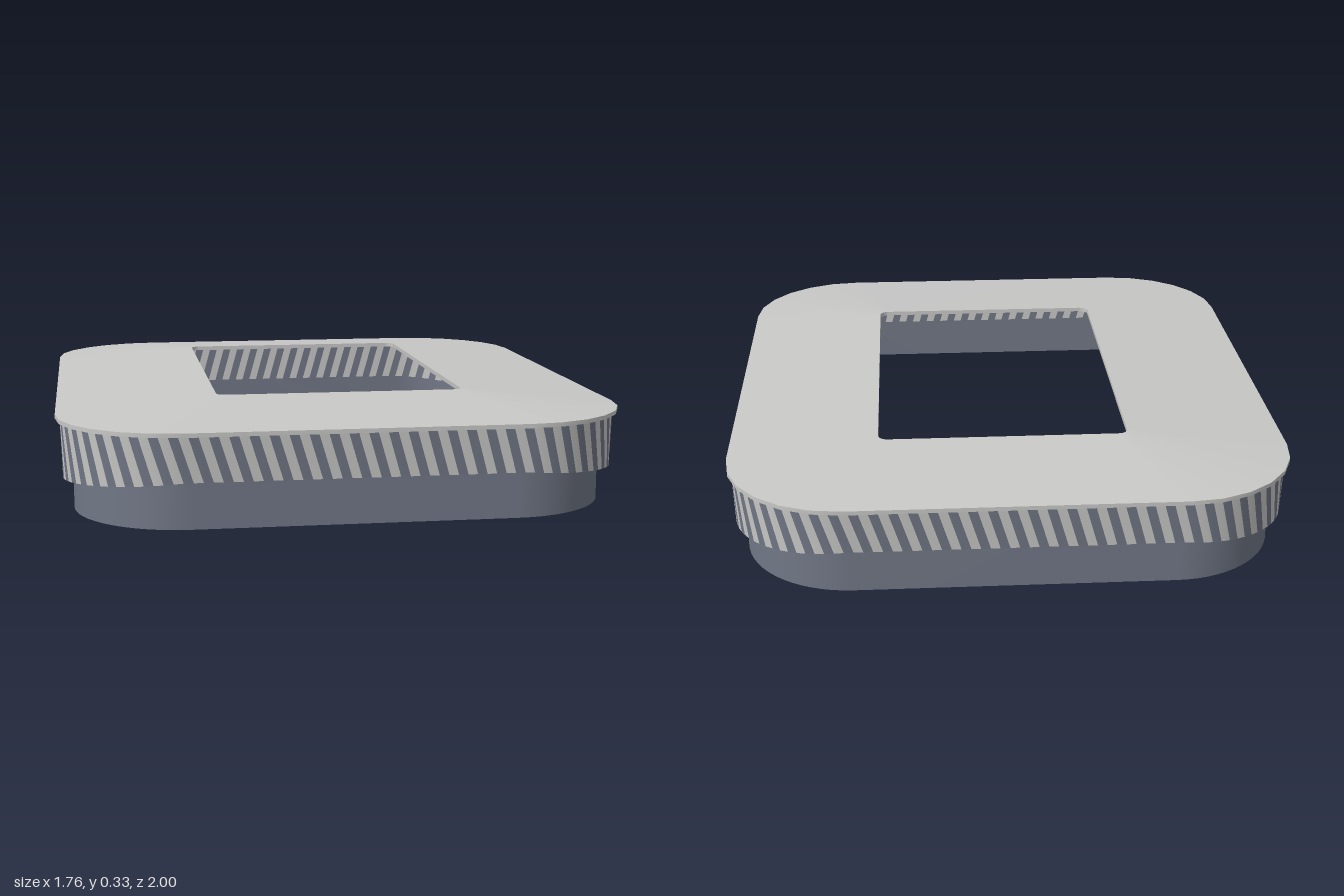
import * as THREE from 'three';

const mat = (name, color) => {
  const m = new THREE.MeshStandardMaterial({ color, side: THREE.DoubleSide });
  m.name = name;
  return m;
};

// Rounded rectangle outline, counter-clockwise seen from above (shape y = -z)
function outline(hx, hz, r, cx = 0, cz = 0) {
  const s = new THREE.Shape();
  const corners = [[1, -1, -0.5], [1, 1, 0], [-1, 1, 0.5], [-1, -1, 1]];
  for (const [sx, sy, a] of corners) {
    s.absarc(cx + sx * (hx - r), -cz + sy * (hz - r), r, a * Math.PI, (a + 0.5) * Math.PI, false);
  }
  s.closePath();
  return s;
}

// Corner-matched ring of points; y may be a number or a function of (x, z)
function ring(shape, y, arcDivisions = 3) {
  const pts = shape.getPoints(arcDivisions);
  pts.pop();
  return pts.map((p) => new THREE.Vector3(p.x, typeof y === 'function' ? y(p.x, -p.y) : y, -p.y));
}

// Evenly spaced ring, shifted along the outline
function spacedRing(shape, y, n, shift) {
  const length = shape.getLength();
  return Array.from({ length: n }, (_, i) => {
    const p = shape.getPointAt((i / n + shift / length + 1) % 1);
    return new THREE.Vector3(p.x, typeof y === 'function' ? y(p.x, -p.y) : y, -p.y);
  });
}

// Closed surface between two rings; columns alternate between the given materials
function loft(name, a, b, materials) {
  const n = a.length;
  const geo = new THREE.BufferGeometry().setFromPoints([...a, ...b]);
  const index = [];
  materials.forEach((_, k) => {
    const start = index.length;
    for (let i = k; i < n; i += materials.length) {
      const j = (i + 1) % n;
      index.push(i, j, n + j, i, n + j, n + i);
    }
    geo.addGroup(start, index.length - start, k);
  });
  geo.setIndex(index);
  geo.computeVertexNormals();
  const mesh = new THREE.Mesh(geo, materials.length > 1 ? materials : materials[0]);
  mesh.name = name;
  return mesh;
}

// Lower edge of the band: low along the sides, higher at the front and back
function bandBottom(x, z) {
  const angle = Math.atan2(Math.max(0, Math.abs(z) - 0.625), Math.max(0, Math.abs(x) - 0.515));
  return 0.1 + 0.045 * angle / (Math.PI / 2);
}

export function createModel() {
  const group = new THREE.Group();
  const lightGrey = mat('light grey', 0xc8c8c7);
  const slate = mat('slate', 0x717786);
  const darkGrey = mat('dark grey', 0x7c8080);

  const wall = outline(0.83, 0.945, 0.34);
  const inner = outline(0.826, 0.941, 0.336);
  const band = outline(0.862, 0.973, 0.35);
  const bandTop = outline(0.868, 0.98, 0.355);
  const rim = outline(0.882, 1, 0.37);
  const hole = outline(0.395, 0.573, 0.03, 0.015, -0.017);

  // Thin skirt wall
  group.add(loft('skirtWall', ring(wall, 0, 8), ring(wall, 0.29, 8), [slate]));

  // Overhanging band with slanted stripes, and the ledge below it
  const n = 232;
  group.add(loft('stripedBand',
    spacedRing(band, bandBottom, n, 0.02), spacedRing(bandTop, 0.287, n, -0.02), [slate, lightGrey]));
  group.add(loft('bandLedge', ring(wall, bandBottom, 8), ring(band, bandBottom, 8), [slate]));
  group.add(loft('innerStripes',
    spacedRing(inner, bandBottom, n, 0.02), spacedRing(inner, 0.289, n, -0.02), [slate, lightGrey]));

  // Sloping lid with a rectangular opening
  group.add(loft('lidTop', ring(rim, 0.297), ring(hole, 0.332), [lightGrey]));
  group.add(loft('lidUnderside', ring(hole, 0.318), ring(rim, 0.284), [darkGrey]));
  group.add(loft('lidRim', ring(rim, 0.284), ring(rim, 0.297), [lightGrey]));
  group.add(loft('openingEdge', ring(hole, 0.332), ring(hole, 0.318), [lightGrey]));

  return group;
}
